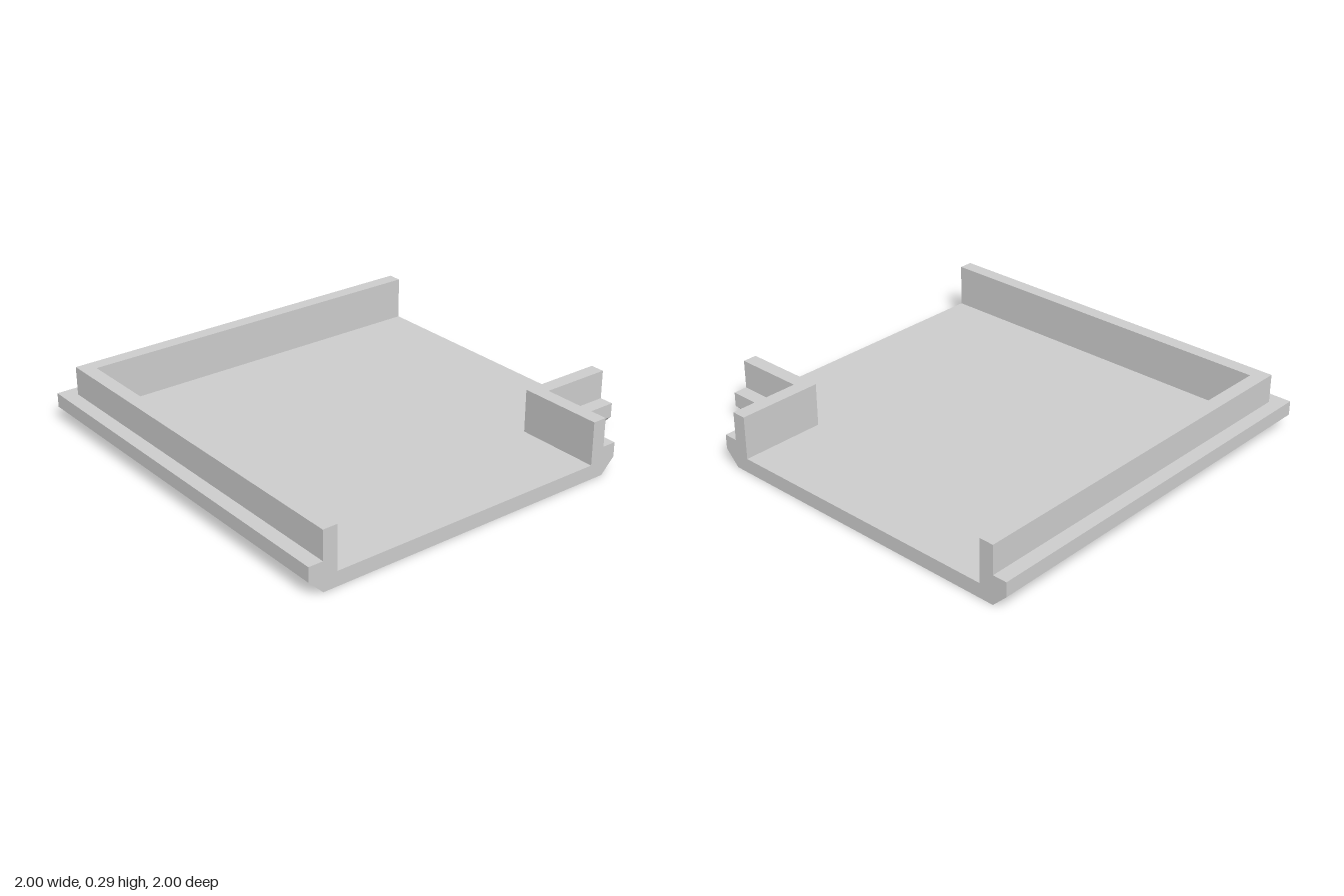
import * as THREE from 'three';

const T = 1 / 14; // wall thickness, the module for every size
const NOTCH = 10 * T; // outer faces of the notch lie at x = NOTCH, z = -NOTCH

// Rim section as [inset from the outer edge, height], bevel to inner wall foot
const PROFILE = [[T, 0], [0, T], [0, 2 * T], [T, 2 * T], [T, 4 * T], [2 * T, 4 * T], [2 * T, T]];

// Plan corners [x, z] of the two rim runs at a given inset
const outerRun = (d) => [[-1 + d, -1], [-1 + d, 1 - d], [1, 1 - d]];
const notchRun = (d) => [[1, -NOTCH + d], [NOTCH - d, -NOTCH + d], [NOTCH - d, -1]];

// Sweep the section along a run with a mitred corner
function sweepRim(run) {
  const pos = [];
  const point = (i, j) => {
    const [d, y] = PROFILE[j];
    const [x, z] = run(d)[i];
    return [x, y, z];
  };
  for (let i = 0; i < 2; i++) {
    for (let j = 0; j < PROFILE.length - 1; j++) {
      const a = point(i, j), b = point(i + 1, j), c = point(i + 1, j + 1), e = point(i, j + 1);
      pos.push(...a, ...b, ...c, ...a, ...c, ...e);
    }
  }
  const geo = new THREE.BufferGeometry();
  geo.setAttribute('position', new THREE.Float32BufferAttribute(pos, 3));
  geo.computeVertexNormals();
  return geo;
}

// Flat floor face bounded by both runs; side is +1 for up, -1 for down
function floorFace(inset, y, side) {
  const corners = [...outerRun(inset), ...notchRun(inset)];
  const shape = new THREE.Shape(corners.map(([x, z]) => new THREE.Vector2(x, -side * z)));
  return new THREE.ShapeGeometry(shape).rotateX(-side * Math.PI / 2).translate(0, y, 0);
}

// Cut end: a rim section at each side joined by the floor thickness
function endFace() {
  const half = (1 + NOTCH) / 2;
  const left = PROFILE.map(([d, y]) => new THREE.Vector2(d - half, y));
  const right = PROFILE.map(([d, y]) => new THREE.Vector2(half - d, y)).reverse();
  return new THREE.ShapeGeometry(new THREE.Shape([...left, ...right]));
}

export function createModel() {
  const group = new THREE.Group();
  group.name = 'cornerTray';
  const material = new THREE.MeshStandardMaterial({ color: 0xcccccc, flatShading: true });
  const add = (name, geometry) => {
    const mesh = new THREE.Mesh(geometry, material);
    mesh.name = name;
    group.add(mesh);
  };

  // Stepped and bevelled rims
  add('outerRim', sweepRim(outerRun));
  add('notchRim', sweepRim(notchRun));

  // Floor, above and below
  add('floorTop', floorFace(2 * T, T, 1));
  add('floorUnderside', floorFace(T, 0, -1));

  // Open ends at the back and the left
  const middle = (1 - NOTCH) / 2;
  add('backEnd', endFace().rotateY(Math.PI).translate(-middle, 0, -1));
  add('leftEnd', endFace().rotateY(Math.PI / 2).translate(1, 0, middle));

  return group;
}
